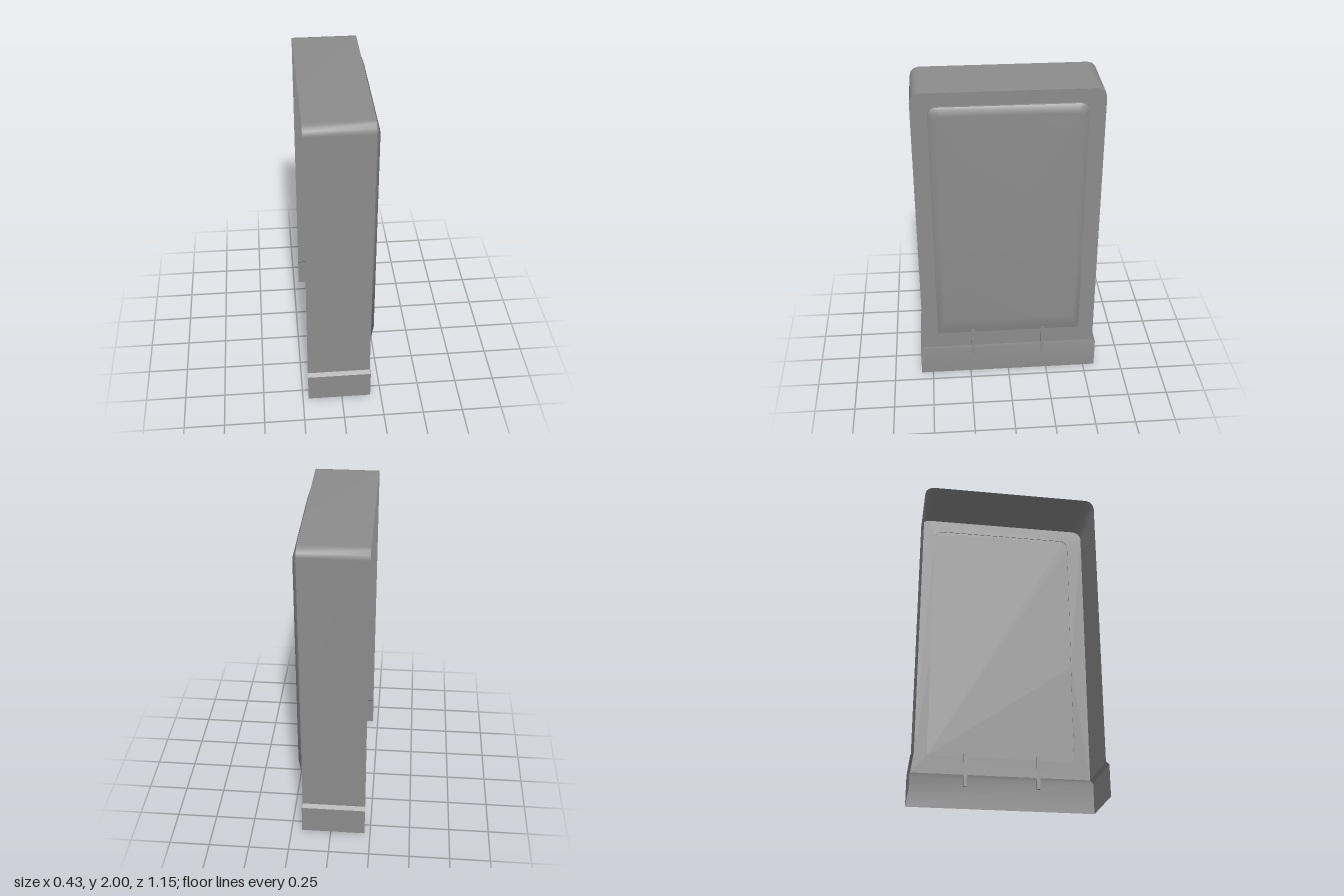
import * as THREE from 'three';
import { toCreasedNormals } from 'three/addons/utils/BufferGeometryUtils.js';

const BACK = -0.215, FACE = 0.178, HALF = 0.555;

// Skin a list of rings of [x, y, z] points; closed joins each ring's ends
function loft(rings, closed) {
  const n = rings[0].length, index = [];
  for (let i = 0; i < rings.length - 1; i++) {
    for (let j = 0; j < (closed ? n : n - 1); j++) {
      const a = i * n + j, b = i * n + (j + 1) % n;
      index.push(a, b, a + n, b, b + n, a + n);
    }
  }
  const g = new THREE.BufferGeometry();
  g.setAttribute('position', new THREE.Float32BufferAttribute(rings.flat(2), 3));
  g.setIndex(index);
  g.computeVertexNormals();
  return g;
}

// Arch outline [u, y], anticlockwise, with rounded top corners
function arch(w, y0, y1, r, mid) {
  const right = [[w, y0]];
  if (mid) right.push([w, mid]);
  for (let k = 0; k <= 3; k++) {
    const a = k * Math.PI / 6;
    right.push([w - r + r * Math.cos(a), y1 - r + r * Math.sin(a)]);
  }
  return [...right, ...right.map(([u, y]) => [-u, y]).reverse()];
}

// Place an outline facing +x; x may depend on height
const place = (pts, x) => pts.map(([u, y]) => [typeof x === 'function' ? x(y) : x, y, -u]);
const toShape = pts => new THREE.Shape(pts.map(p => new THREE.Vector2(...p)));
const sheet = (shape, x) => new THREE.ShapeGeometry(shape).rotateY(Math.PI / 2).translate(x, 0, 0);

export function createModel() {
  const group = new THREE.Group();
  const grey = new THREE.MeshStandardMaterial({ color: 0x8c8c8c, side: THREE.DoubleSide });
  grey.name = 'grey';
  const add = (name, geometry) => {
    const m = new THREE.Mesh(geometry, grey);
    m.name = name;
    group.add(m);
    return m;
  };

  // Side walls and top, open at the back and below
  const outer = arch(HALF, 0.21, 2, 0.055);
  add('shellWalls', loft([place(outer, BACK), place(outer, FACE)], false));

  // Front panel with an opening for the raised panel
  const opening = arch(0.458, 0.322, 1.919, 0.05, 0.97);
  const panel = toShape(outer);
  panel.holes.push(toShape(opening));
  add('frontPanel', sheet(panel, FACE));

  // Step around the raised panel, fading out towards the bottom
  const fade = y => THREE.MathUtils.clamp((y - 0.32) / 1.2, 0, 1);
  const stepX = y => FACE + 0.004 + 0.011 * fade(y);
  add('raisedPanelStep', loft([place(opening, FACE), place(opening, stepX)], true));

  // Flat lining behind the raised panel, seen from the open back
  add('panelLining', sheet(toShape(opening), FACE + 0.004));

  // Pillowed raised panel
  const flat = arch(0.41, 0.44, 1.87, 0.03, 0.97);
  const centre = flat.map(([u, y]) => [u * 0.05, 1.15 + (y - 1.15) * 0.05]);
  add('raisedPanel', loft([
    place(opening, stepX),
    place(arch(0.445, 0.35, 1.908, 0.045, 0.97), y => 0.189 + 0.013 * fade(y)),
    place(flat, 0.215),
    place(centre, 0.215),
  ], true));
  add('raisedPanelCentre', sheet(toShape(centre), 0.215));

  // Base skirt, slightly wider, with a sloped shoulder
  const plan = (y, x, z) => [[BACK, y, z], [x, y, z], [x, y, -z], [BACK, y, -z]];
  add('baseSkirt', toCreasedNormals(loft([
    plan(0, 0.183, 0.575), plan(0.19, 0.183, 0.575), plan(0.21, FACE, HALF),
  ], false), 0.3));

  // Two slim upright ribs passing through the front
  for (const [name, z] of [['leftRib', 0.229], ['rightRib', -0.221]]) {
    add(name, new THREE.BoxGeometry(0.024, 0.206, 0.023)).position.set(0.179, 0.241, z);
  }
  return group;
}
